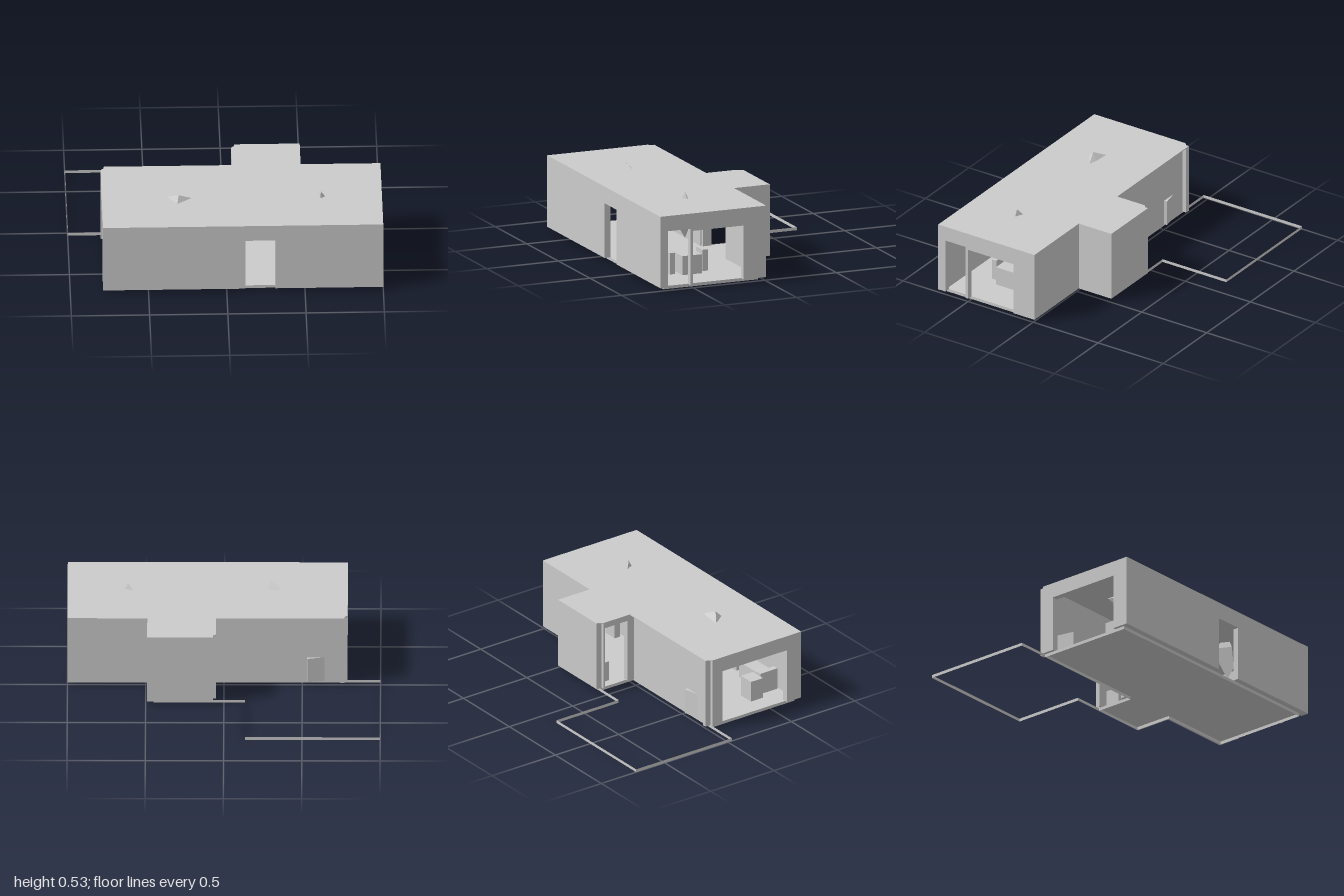
import * as THREE from 'three';
import { ConvexGeometry } from 'three/addons/geometries/ConvexGeometry.js';

const FLOOR = 0.02, TOP = 0.49, T = 0.04;

export function createModel() {
  const house = new THREE.Group();
  house.name = 'house';
  const mat = new THREE.MeshStandardMaterial({ color: 0xcccccc, flatShading: true });
  const thin = new THREE.MeshStandardMaterial({ color: 0xcccccc, flatShading: true, side: THREE.DoubleSide });

  const add = (name, geometry, material = mat) => {
    const mesh = new THREE.Mesh(geometry, material);
    mesh.name = name;
    house.add(mesh);
    return mesh;
  };
  const box = (name, x0, x1, y0, y1, z0, z1) => {
    const m = add(name, new THREE.BoxGeometry(x1 - x0, y1 - y0, z1 - z0));
    m.position.set((x0 + x1) / 2, (y0 + y1) / 2, (z0 + z1) / 2);
    return m;
  };

  // Wall outline with openings [start, end, height] cut up from the floor
  const wallGeometry = (u0, u1, openings, thickness) => {
    const s = new THREE.Shape();
    s.moveTo(u0, FLOOR);
    for (const [a, b, h] of openings) {
      s.lineTo(a, FLOOR); s.lineTo(a, h); s.lineTo(b, h); s.lineTo(b, FLOOR);
    }
    s.lineTo(u1, FLOOR); s.lineTo(u1, TOP - 0.005); s.lineTo(u0, TOP - 0.005);
    return new THREE.ExtrudeGeometry(s, { depth: thickness, bevelEnabled: false });
  };
  const wallAlongX = (name, x0, x1, z, openings = [], t = T) =>
    add(name, wallGeometry(x0, x1, openings, t).translate(0, 0, z));
  const wallAlongZ = (name, z0, z1, xMax, openings = [], t = T) =>
    add(name, wallGeometry(z0, z1, openings, t).rotateY(-Math.PI / 2).translate(xMax, 0, 0));

  // Flat sheet from [x, z] corners
  const planShape = (pts) => new THREE.Shape(pts.map(([x, z]) => new THREE.Vector2(x, -z)));

  // Walls
  wallAlongX('frontWall', -0.79, 1, 0.69, [[0.12, 0.31, 0.38]]);
  wallAlongZ('leftEndWall', -0.01, 0.69, 1, [[0.15, 0.5, 0.375], [0.52, 0.675, 0.39]]);
  wallAlongZ('rightEndWall', 0.03, 0.69, -0.75, [[0.11, 0.617, 0.39]]);
  wallAlongX('rightCornerPost', -0.77, -0.74, -0.01);
  wallAlongX('backWallLeft', 0.45, 0.96, -0.01);
  wallAlongX('backWallRight', -0.75, 0.07, 0.02, [], 0.02);
  wallAlongX('annexBackWall', 0.07, 0.49, -0.26);
  wallAlongZ('annexLeftWall', -0.22, -0.01, 0.49);
  wallAlongZ('annexOpenSide', -0.22, 0.03, 0.09, [[-0.21, -0.03, 0.45]]);

  // Roof with two clipped corners
  const roof = planShape([
    [-0.79, 0.73], [1, 0.73], [1, -0.01], [0.49, -0.01], [0.49, -0.26], [0.07, -0.26],
    [0.07, -0.24], [0.05, -0.22], [0.05, -0.01], [-0.77, -0.01], [-0.77, 0.01], [-0.79, 0.03],
  ]);
  add('roof', new THREE.ExtrudeGeometry(roof, { depth: 0.006, bevelEnabled: false })
    .rotateX(-Math.PI / 2).translate(0, TOP - 0.006, 0));

  // Floor sheet
  const base = [
    [-0.77, 0.69], [0.96, 0.69], [0.96, 0.03], [0.45, 0.03], [0.45, -0.235],
    [0.07, -0.235], [0.07, 0.03], [-0.77, 0.03],
  ];
  add('floor', new THREE.ShapeGeometry(planShape(base)).rotateX(-Math.PI / 2).translate(0, FLOOR, 0), thin);

  // Upright edge strips around the floor and the terrace
  const edging = (name, pts) => {
    for (let i = 0; i < pts.length - 1; i++) {
      const [x0, z0] = pts[i], [x1, z1] = pts[i + 1];
      const strip = add(name, new THREE.PlaneGeometry(Math.hypot(x1 - x0, z1 - z0), FLOOR), thin);
      strip.position.set((x0 + x1) / 2, FLOOR / 2, (z0 + z1) / 2);
      strip.rotation.y = -Math.atan2(z1 - z0, x1 - x0);
    }
  };
  edging('floorEdge', [...base, base[0]]);
  edging('terraceEdge', [
    [0.07, -0.235], [-0.135, -0.235], [-0.135, -0.725], [-1, -0.725], [-1, 0.03], [-0.77, 0.03],
  ]);

  // Faceted lamps poking through the roof
  const crystal = (name, pts) =>
    add(name, new ConvexGeometry(pts.map((p) => new THREE.Vector3(...p))));
  crystal('largeLamp', [
    [-0.3, 0.53, 0.41], [-0.47, 0.44, 0.3], [-0.11, 0.44, 0.345], [-0.32, 0.44, 0.5],
    [-0.2, 0.36, 0.235], [-0.32, 0.27, 0.345], [-0.36, 0.31, 0.42],
  ]);
  crystal('smallLamp', [
    [0.61, 0.53, 0.385], [0.55, 0.44, 0.32], [0.67, 0.44, 0.375], [0.6, 0.44, 0.43],
    [0.62, 0.3, 0.43], [0.6, 0.34, 0.33], [0.61, 0.23, 0.385],
  ]);

  // Dining table and chairs
  box('diningTable', 0.54, 0.74, FLOOR, 0.145, 0.325, 0.46);
  for (const [z0, z1] of [[0.26, 0.3], [0.49, 0.525]]) box('diningChair', 0.59, 0.69, FLOOR, 0.16, z0, z1);

  // Sofa against the front wall, armchairs and a low unit
  box('sofaSeat', -0.56, -0.32, FLOOR, 0.13, 0.58, 0.68);
  box('sofaArm', -0.6, -0.56, FLOOR, 0.165, 0.545, 0.68);
  box('armchair', -0.65, -0.54, FLOOR, 0.16, 0.435, 0.53);
  box('tallCabinet', -0.24, -0.14, FLOOR, 0.39, 0.617, 0.69);
  box('annexUnit', 0.13, 0.45, FLOOR, 0.155, -0.22, -0.12);

  // Turned chair by the back wall
  const chair = box('turnedChair', -0.65, -0.52, FLOOR, 0.19, 0.01, 0.14);
  chair.rotation.y = 0.2;

  return house;
}
